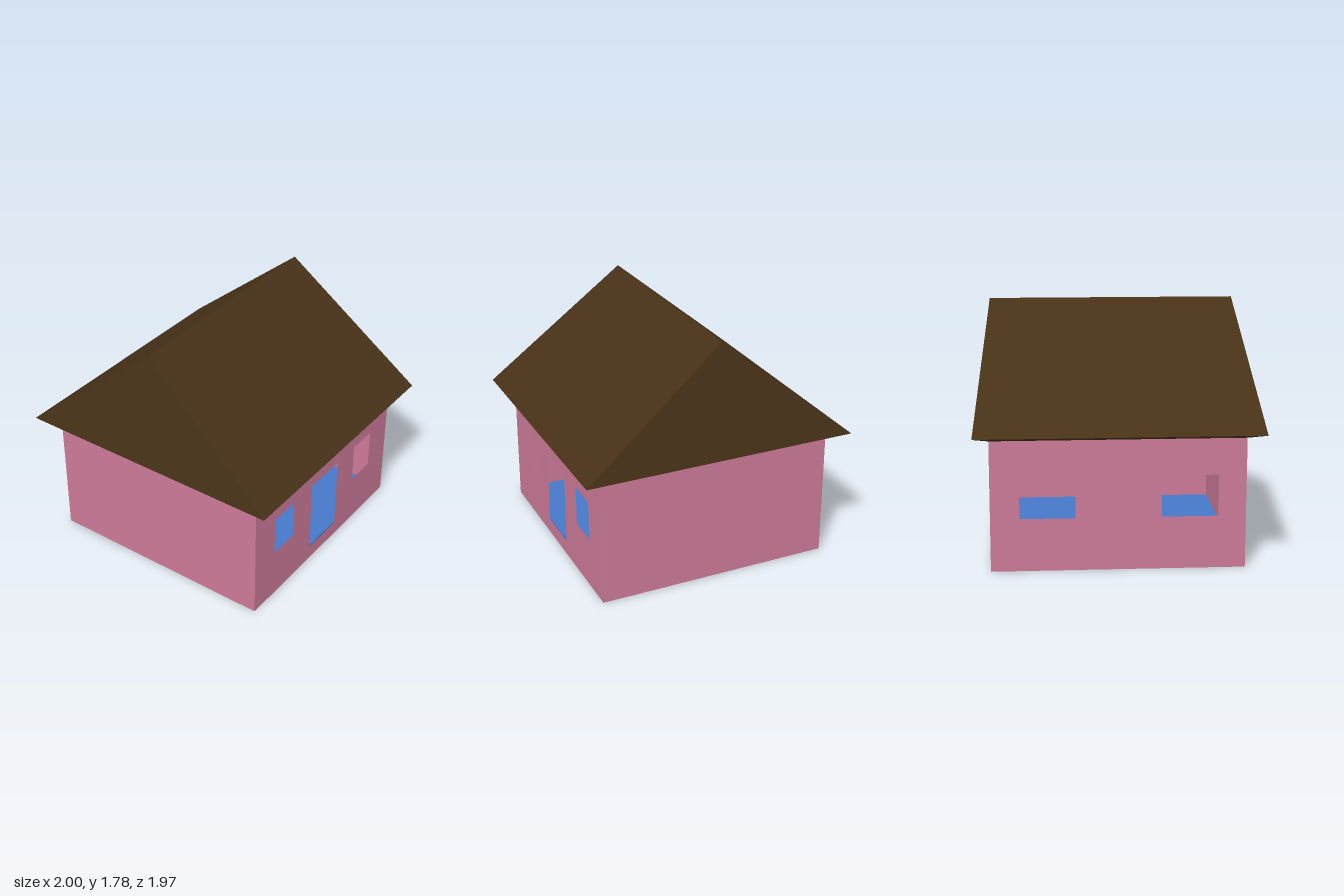
import * as THREE from 'three';

const wallMat = new THREE.MeshStandardMaterial({ color: 0xcc7a98 });
const roofMat = new THREE.MeshStandardMaterial({ color: 0x483218 });
const floorMat = new THREE.MeshStandardMaterial({ color: 0x4678c8 });

const X0 = -0.855, X1 = 0.86, Z0 = -0.88, Z1 = 0.87; // outer wall faces
const T = 0.04, WALL_H = 0.95;                       // wall thickness, height up into the roof
const CX = (X0 + X1) / 2, CZ = (Z0 + Z1) / 2, RIDGE_X = -0.015;

function add(group, name, geometry, material) {
  const mesh = new THREE.Mesh(geometry, material);
  mesh.name = name;
  group.add(mesh);
  return mesh;
}

function box(group, name, material, w, h, d, x, y, z) {
  add(group, name, new THREE.BoxGeometry(w, h, d), material).position.set(x, y, z);
}

// Flat-shaded geometry from convex polygons, corners counter-clockwise
function polygons(faces) {
  const pos = [];
  for (const f of faces)
    for (let i = 1; i < f.length - 1; i++) pos.push(...f[0], ...f[i], ...f[i + 1]);
  const g = new THREE.BufferGeometry();
  g.setAttribute('position', new THREE.Float32BufferAttribute(pos, 3));
  g.computeVertexNormals();
  return g;
}

// Wall lying along z, with rectangular openings [zMin, zMax, yMin, yMax]
function sideWall(group, name, x, openings) {
  const rect = (path, a, b, c, d) => {
    path.moveTo(-a, c);
    path.lineTo(-b, c);
    path.lineTo(-b, d);
    path.lineTo(-a, d);
    path.closePath();
    return path;
  };
  const shape = rect(new THREE.Shape(), Z0, Z1, 0, WALL_H);
  for (const o of openings) shape.holes.push(rect(new THREE.Path(), ...o));
  const g = new THREE.ExtrudeGeometry(shape, { depth: T, bevelEnabled: false });
  g.rotateY(Math.PI / 2);
  g.translate(x, 0, 0);
  add(group, name, g, wallMat);
}

// Corners of a horizontal rectangle, in order around the house
const ring = (x0, x1, y, z0, z1) => [[x0, y, z1], [x1, y, z1], [x1, y, z0], [x0, y, z0]];

// Two slopes and two gables rising from a ring to a ridge
function tent(r, front, back) {
  return [
    [r[0], r[1], front],
    [r[1], r[2], back, front],
    [r[2], r[3], back],
    [r[3], r[0], front, back],
  ];
}

export function createModel() {
  const house = new THREE.Group();
  house.name = 'house';

  // Walls: door and two windows on the left side, two wider windows opposite
  sideWall(house, 'doorWall', X1 - T, [
    [0.40, 0.635, 0.375, 0.665],
    [-0.175, 0.17, 0.075, 0.665],
    [-0.64, -0.405, 0.375, 0.665],
  ]);
  sideWall(house, 'windowWall', X0, [
    [0.29, 0.68, 0.37, 0.66],
    [-0.68, -0.30, 0.37, 0.66],
  ]);
  const innerW = X1 - X0 - 2 * T, innerD = Z1 - Z0 - 2 * T;
  box(house, 'frontWall', wallMat, innerW, WALL_H, T, CX, WALL_H / 2, Z1 - T / 2);
  box(house, 'backWall', wallMat, innerW, WALL_H, T, CX, WALL_H / 2, Z0 + T / 2);

  // Base slab and floor covering
  box(house, 'base', wallMat, innerW, 0.04, innerD, CX, 0.02, CZ);
  box(house, 'floor', floorMat, innerW, 0.012, innerD, CX, 0.046, CZ);

  // Roof shell: slopes, leaning gables and the sloping underside of the eaves
  const eave = ring(-1, 1, 0.96, -0.985, 0.985);
  const soffit = ring(X0, X1, 0.915, Z0, Z1);
  const faces = tent(eave, [RIDGE_X, 1.78, Z1], [RIDGE_X, 1.78, Z0]);
  for (let i = 0; i < 4; i++) {
    const j = (i + 1) % 4;
    faces.push([soffit[i], soffit[j], eave[j], eave[i]]);
  }
  add(house, 'roof', polygons(faces), roofMat);

  // Attic lining, facing inwards
  const lining = tent(
    ring(X0 + T, X1 - T, WALL_H, Z0 + T, Z1 - T),
    [RIDGE_X, 1.72, Z1 - T], [RIDGE_X, 1.72, Z0 + T],
  ).map((f) => f.reverse());
  add(house, 'atticLining', polygons(lining), wallMat);

  return house;
}
